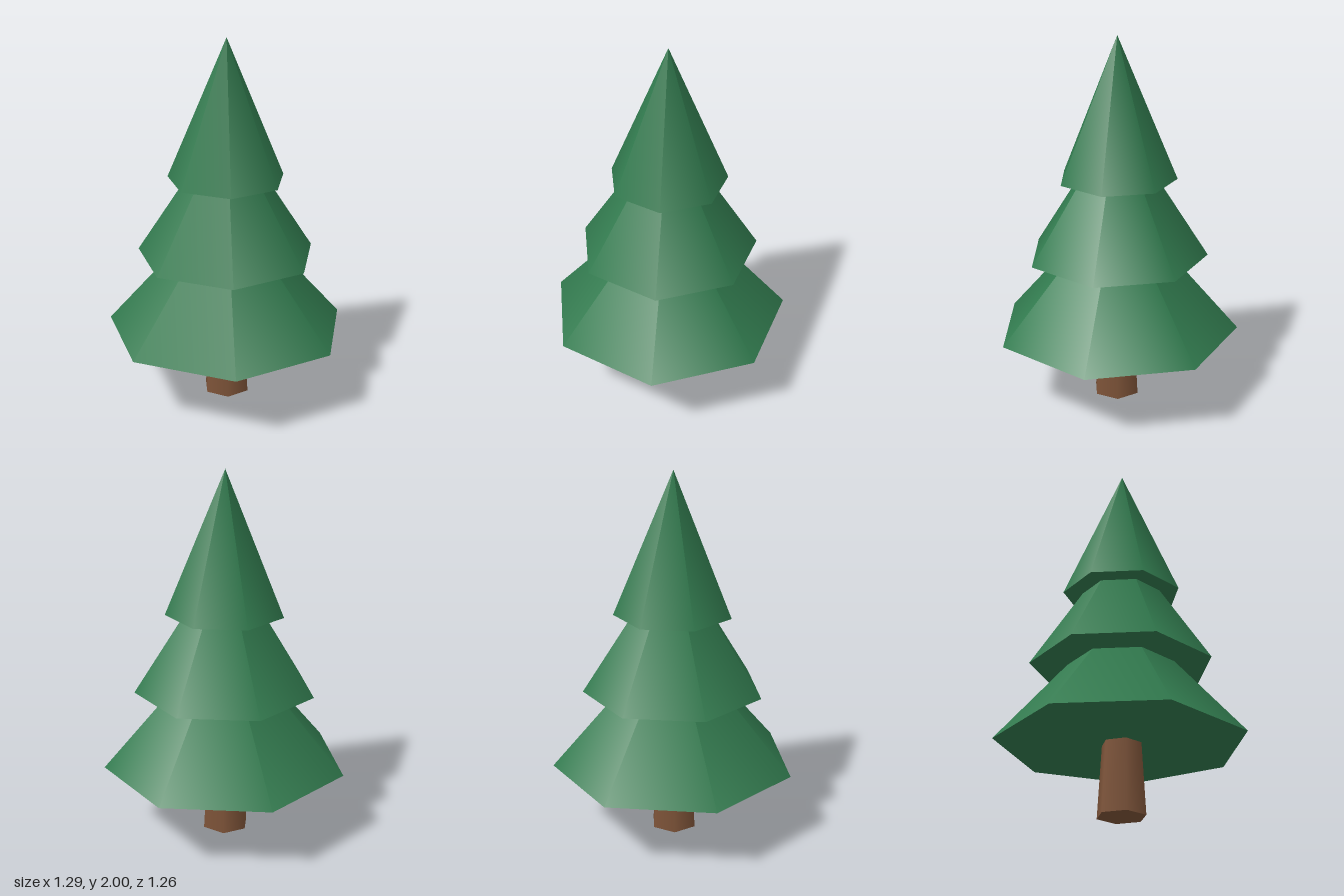
import * as THREE from 'three';

const CENTRE_Z = -0.033; // puts the seven-sided outline centred on z = 0

export function createModel() {
  const tree = new THREE.Group();
  tree.name = 'pineTree';

  const bark = new THREE.MeshStandardMaterial({ color: 0x7d5338 });
  bark.name = 'barkBrown';
  const needles = new THREE.MeshStandardMaterial({ color: 0x317a4e });
  needles.name = 'needleGreen';

  const add = (name, geometry, material, y) => {
    const mesh = new THREE.Mesh(geometry, material);
    mesh.name = name;
    mesh.position.set(0, y, CENTRE_Z);
    tree.add(mesh);
  };

  // Tapered six-sided trunk, ending just inside the lowest tier
  const trunkHeight = 0.42;
  add('trunk', new THREE.CylinderGeometry(0.105, 0.131, trunkHeight, 6), bark, trunkHeight / 2);

  // Three overlapping seven-sided cones of foliage: name, radius, base height
  const tierHeight = 0.76;
  const tiers = [
    ['lowerFoliage', 0.663, 0.385],
    ['middleFoliage', 0.49, 0.813],
    ['upperFoliage', 0.32, 1.24],
  ];
  for (const [name, radius, base] of tiers) {
    add(name, new THREE.ConeGeometry(radius, tierHeight, 7), needles, base + tierHeight / 2);
  }

  return tree;
}
